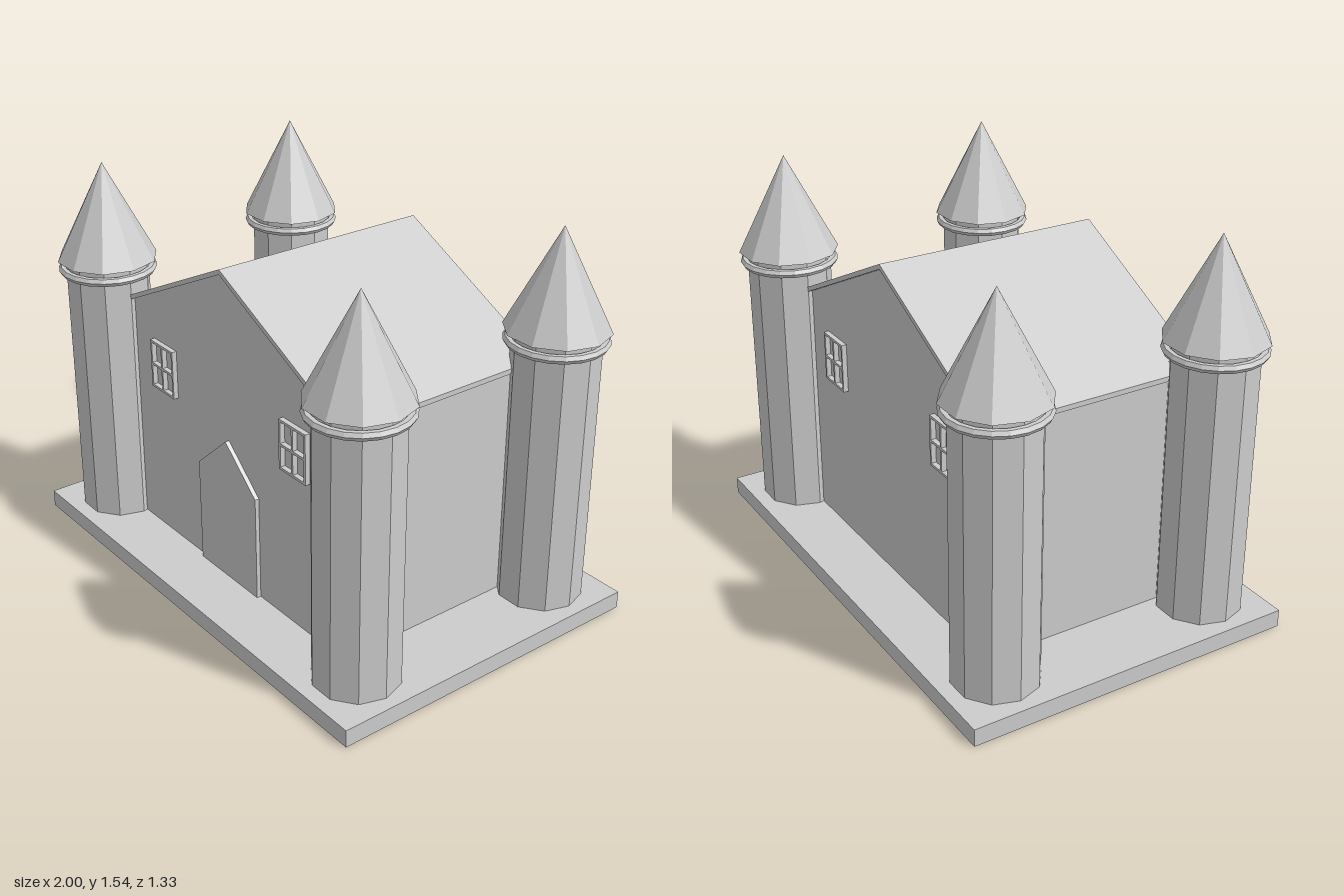
import * as THREE from 'three';

const stone = new THREE.MeshStandardMaterial({ color: 0xcccccc });
stone.name = 'pale grey stone';

function add(parent, name, geometry, x = 0, y = 0, z = 0) {
  // flat facets without altering the flat grey material
  const flat = geometry.index ? geometry.toNonIndexed() : geometry;
  flat.computeVertexNormals();
  const mesh = new THREE.Mesh(flat, stone);
  mesh.name = name;
  mesh.position.set(x, y, z);
  parent.add(mesh);
  return mesh;
}

const outline = (points) => new THREE.Shape(points.map(([x, y]) => new THREE.Vector2(x, y)));
const extrude = (shape, depth) => new THREE.ExtrudeGeometry(shape, { depth, bevelEnabled: false });

// Ten-sided tower with a ring under its pointed roof
function makeTower() {
  const tower = new THREE.Group();
  const turn = Math.PI / 2;
  add(tower, 'towerShaft', new THREE.CylinderGeometry(0.165, 0.165, 1.09, 10).rotateY(turn), 0, 0.615);
  add(tower, 'towerRing', new THREE.TorusGeometry(0.176, 0.017, 6, 20).rotateX(turn), 0, 1.12);
  add(tower, 'towerRoof', new THREE.ConeGeometry(0.197, 0.385, 10).rotateY(turn), 0, 1.3525);
  return tower;
}

// Window frame with four open panes, the wall showing behind
function windowGeometry(depth) {
  const w = 0.0775, h = 0.1, bar = 0.01, half = 0.005;
  const frame = outline([[-w, -h], [w, -h], [w, h], [-w, h]]);
  for (const sx of [-1, 1]) {
    for (const sy of [-1, 1]) {
      const x0 = sx * half, x1 = sx * (w - bar), y0 = sy * half, y1 = sy * (h - bar);
      frame.holes.push(new THREE.Path([[x0, y0], [x1, y0], [x1, y1], [x0, y1]].map((p) => new THREE.Vector2(...p))));
    }
  }
  return extrude(frame, depth);
}

export function createModel() {
  const castle = new THREE.Group();
  castle.name = 'castle';

  add(castle, 'base', new THREE.BoxGeometry(2, 0.07, 1.334), 0, 0.035, 0);

  // Gabled hall
  const wallX = 0.69, wallZ = 0.43;
  add(castle, 'hall', extrude(outline([[-wallX, 0.07], [wallX, 0.07], [wallX, 0.998], [0, 1.335], [-wallX, 0.998]]), wallZ * 2), 0, 0, -wallZ);

  // Thin folded roof slab
  add(castle, 'hallRoof', extrude(outline([[-0.705, 0.99], [0, 1.335], [0.705, 0.99], [0.705, 1.01], [0, 1.355], [-0.705, 1.01]]), 0.904), 0, 0, -0.452);

  // Pointed door
  add(castle, 'door', extrude(outline([[-0.185, 0.07], [0.185, 0.07], [0.185, 0.5], [0, 0.665], [-0.185, 0.5]]), 0.02), 0, 0, wallZ - 0.003);

  // Windows on the front and back walls
  for (const side of [1, -1]) {
    for (const x of [-0.418, 0.418]) {
      const pane = add(castle, side > 0 ? 'frontWindow' : 'backWindow', windowGeometry(0.022), x, 0.805, side * (wallZ - 0.002));
      if (side < 0) pane.rotation.y = Math.PI;
    }
  }

  // Corner towers
  for (const x of [-0.785, 0.785]) {
    for (const z of [-0.45, 0.45]) {
      const tower = makeTower();
      tower.name = (z > 0 ? 'front' : 'back') + (x > 0 ? 'Left' : 'Right') + 'Tower';
      tower.position.set(x, 0, z);
      castle.add(tower);
    }
  }
  return castle;
}
